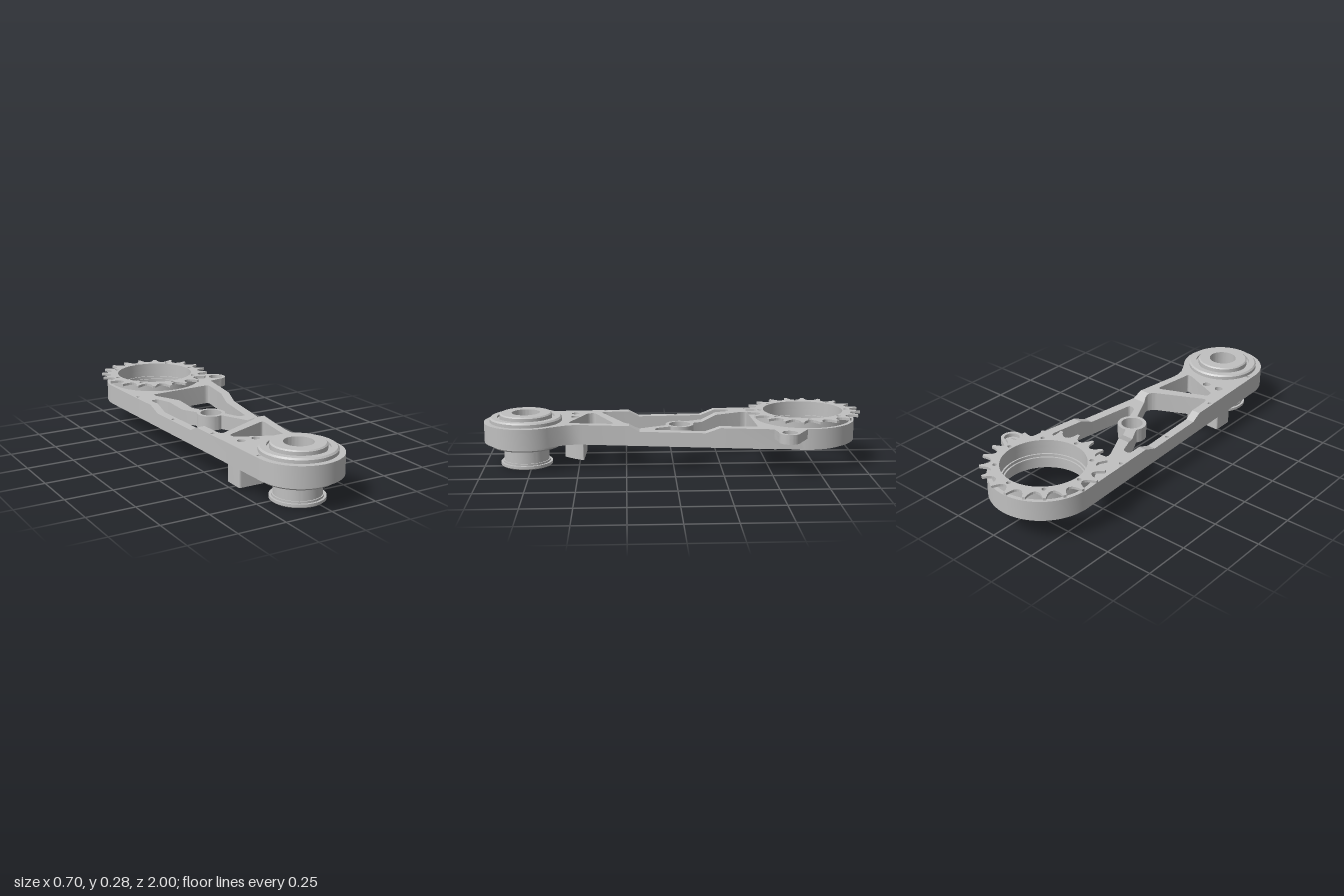
import * as THREE from 'three';
import { toCreasedNormals } from 'three/addons/utils/BufferGeometryUtils.js';

const metal = new THREE.MeshStandardMaterial({ color: 0xc0c0c0 });
metal.name = 'greyMetal';

const HUB = [-0.048, -0.695];     // sprocket centre (x, z)
const PULLEY = [-0.041, 0.78];    // pulley centre
const BOSS = [-0.046, -0.035];    // small ring in the middle of the arm

// points along an arc in the xz plane, angles in degrees
function arc([cx, cz], r, a0, a1, n) {
  return Array.from({ length: n + 1 }, (_, i) => {
    const a = THREE.MathUtils.degToRad(a0 + ((a1 - a0) * i) / n);
    return [cx + r * Math.cos(a), cz + r * Math.sin(a)];
  });
}
const circle = (c, r, n = 64) => arc(c, r, 0, 360, n).slice(0, -1);

// round the sharp corners of a polygon
function rounded(points, r) {
  const out = [];
  points.forEach((q, i) => {
    const p = new THREE.Vector2(...q);
    const a = new THREE.Vector2(...points.at(i - 1)).sub(p);
    const b = new THREE.Vector2(...points[(i + 1) % points.length]).sub(p);
    if (Math.PI - Math.abs(a.angleTo(b)) < 0.3) return out.push(q);
    const cut = Math.min(r, a.length() * 0.45, b.length() * 0.45);
    const curve = new THREE.QuadraticBezierCurve(
      a.setLength(cut).add(p), p, b.setLength(cut).add(p));
    for (const v of curve.getPoints(8)) out.push([v.x, v.y]);
  });
  return out;
}

// flat plate with holes, standing between two heights;
// the outline is reversed so that it runs counter-clockwise once z is flipped
function slabGeometry(outline, holes, y0, y1) {
  const toVec = ([x, z]) => new THREE.Vector2(x, -z);
  const shape = new THREE.Shape(outline.map(toVec).reverse());
  shape.holes = holes.map((h) => new THREE.Path(h.map(toVec)));
  const geo = new THREE.ExtrudeGeometry(shape, { depth: y1 - y0, bevelEnabled: false });
  return geo.rotateX(-Math.PI / 2).translate(0, y0, 0);
}

// cut every triangle along the given z values
function splitAtZ(geo, levels) {
  const pos = geo.attributes.position;
  let polys = [];
  for (let i = 0; i < pos.count; i += 3) {
    polys.push([0, 1, 2].map((k) => new THREE.Vector3().fromBufferAttribute(pos, i + k)));
  }
  for (const z of levels) {
    const clip = (poly, side) => {
      const out = [];
      poly.forEach((a, i) => {
        const b = poly[(i + 1) % poly.length];
        const da = side * (a.z - z), db = side * (b.z - z);
        if (da >= 0) out.push(a);
        if (da * db < 0) out.push(a.clone().lerp(b, da / (da - db)));
      });
      return out;
    };
    polys = polys.flatMap((p) => [clip(p, 1), clip(p, -1)]).filter((p) => p.length > 2);
  }
  const verts = [];
  for (const p of polys) {
    for (let i = 1; i < p.length - 1; i++) verts.push(p[0].clone(), p[i].clone(), p[i + 1].clone());
  }
  return new THREE.BufferGeometry().setFromPoints(verts);
}

export function createModel() {
  const model = new THREE.Group();
  model.name = 'sprocketArm';
  const add = (name, geo) => {
    const mesh = new THREE.Mesh(toCreasedNormals(geo, 0.3), metal);
    mesh.name = name;
    model.add(mesh);
    return mesh;
  };
  const slab = (name, outline, holes, y0, y1) => add(name, slabGeometry(outline, holes, y0, y1));

  const boltHoles = arc(HUB, 0.2315, 0, 315, 7).map((c) => circle(c, 0.0115, 24));
  const clampHoles = [[-0.198, 0.525], [-0.117, 0.525]].map((c) => circle(c, 0.021, 24));
  const railHoles = [[-0.291, -0.411], [-0.275, -0.028], [-0.259, 0.358], [-0.24, 0.749]]
    .map((c) => circle(c, 0.01, 24));

  // arm outline and its three windows
  const outline = [
    ...arc(HUB, 0.273, 178, 370, 60),
    [0.222, -0.511], [0.081, 0.482], [0.08, 0.522], [0.089, 0.562], [0.11, 0.605],
    ...arc(PULLEY, 0.22, -37, 182, 60),
  ];
  const windows = [
    [[-0.198, -0.411], [0.163, -0.432], [0.084, 0.104], [0.043, 0.092],
      ...arc(BOSS, 0.075, 41, -105, 20), [-0.198, -0.383]],
    [[-0.263, -0.313], [-0.221, -0.313], [-0.198, -0.248],
      ...arc(BOSS, 0.075, 213, 72, 20), [0.067, 0.219], [0.046, 0.256],
      [-0.218, 0.383], [-0.23, 0.356]],
    [[-0.202, 0.42], [0.062, 0.309], [0.031, 0.552], [0.005, 0.547], [-0.197, 0.457]],
  ].map((w) => rounded(w, 0.03));
  const armHoles = [
    ...windows, circle(HUB, 0.212, 96), circle(PULLEY, 0.188), circle(BOSS, 0.056, 40),
    ...boltHoles, ...clampHoles, ...railHoles,
  ];

  // arm, with its top lowered between two ramps
  const top = 0.237, low = 0.208, ramps = [-0.235, -0.16, 0.18, 0.235];
  const arm = splitAtZ(slabGeometry(outline, armHoles, 0.132, top), ramps);
  const p = arm.attributes.position;
  for (let i = 0; i < p.count; i++) {
    if (p.getY(i) < 0.2) continue;
    const z = p.getZ(i);
    const t = Math.max((z - ramps[2]) / (ramps[3] - ramps[2]),
      (ramps[1] - z) / (ramps[1] - ramps[0]));
    p.setY(i, THREE.MathUtils.lerp(low, top, THREE.MathUtils.clamp(t, 0, 1)));
  }
  add('arm', arm);

  // sprocket with 20 slim teeth
  const teeth = [];
  for (let i = 0; i < 20; i++) {
    const mid = 9 + i * 18;
    for (const [a, r] of [[-9, 0.252], [-6.5, 0.255], [-4.4, 0.264], [-2.8, 0.279], [-1.3, 0.305],
      [1.3, 0.305], [2.8, 0.279], [4.4, 0.264], [6.5, 0.255]]) {
      teeth.push(arc(HUB, r, mid + a, 0, 1)[0]);
    }
  }
  slab('sprocket', teeth, [circle(HUB, 0.211, 96), ...boltHoles], 0.267, 0.28);

  // stacked rings around the sprocket opening
  slab('sprocketSpacer', circle(HUB, 0.252, 96), [circle(HUB, 0.212, 96), ...boltHoles], 0.237, 0.267);
  slab('lowerRetainer', circle(HUB, 0.245, 96), [circle(HUB, 0.212, 96), ...boltHoles], 0.12, 0.132);
  for (const [y0, y1, r] of [[0.155, 0.17, 0.204], [0.17, 0.188, 0.196], [0.188, 0.203, 0.204]]) {
    slab('innerLip', circle(HUB, 0.213, 96), [circle(HUB, r, 96)], y0, y1);
  }

  // side lug with a counterbored hole
  const ear = [0.293, -0.576];
  const lug = [[0.205, -0.69], [0.222, -0.68], ...arc(ear, 0.056, -52, 98, 24),
    [0.225, -0.508], [0.205, -0.508]];
  slab('lug', lug, [circle(ear, 0.022, 32)], 0.187, 0.217);
  slab('lugCounterbore', lug, [circle(ear, 0.039, 32)], 0.217, top);

  // clamp block under the arm
  const block = rounded([[-0.24, 0.465], [-0.02, 0.476], [-0.05, 0.522], [-0.1, 0.58], [-0.24, 0.58]], 0.012);
  slab('clampBlock', block, clampHoles, 0.02, 0.133);

  // pulley, bearing and cap turned as one profile
  const profile = [
    [0.1, 0.03], [0.1, 0], [0.13, 0], [0.137, 0.006], [0.137, 0.02], [0.125, 0.02],
    [0.125, 0.03], [0.119, 0.03], [0.119, 0.095], [0.137, 0.095], [0.137, 0.108],
    [0.182, 0.108], [0.19, 0.116], [0.19, 0.254], [0.182, 0.262], [0.151, 0.262],
    [0.151, 0.25], [0.137, 0.25], [0.137, 0.275], [0.13, 0.281], [0.074, 0.281], [0.074, 0.055],
  ].map((q) => new THREE.Vector2(...q));
  add('pulley', new THREE.LatheGeometry(profile, 72)).position.set(PULLEY[0], 0, PULLEY[1]);

  // pulley floor with hexagonal bore and two pin holes
  const hex = circle(PULLEY, 0.031, 6);
  const pins = [-1, 1].map((s) => circle([PULLEY[0] + s * 0.044, PULLEY[1] + s * 0.024], 0.01, 24));
  slab('pulleyFloor', circle(PULLEY, 0.105), [hex], 0.03, 0.05);
  slab('pulleyFloorTop', circle(PULLEY, 0.08), [hex, ...pins], 0.05, 0.06);

  return model;
}
